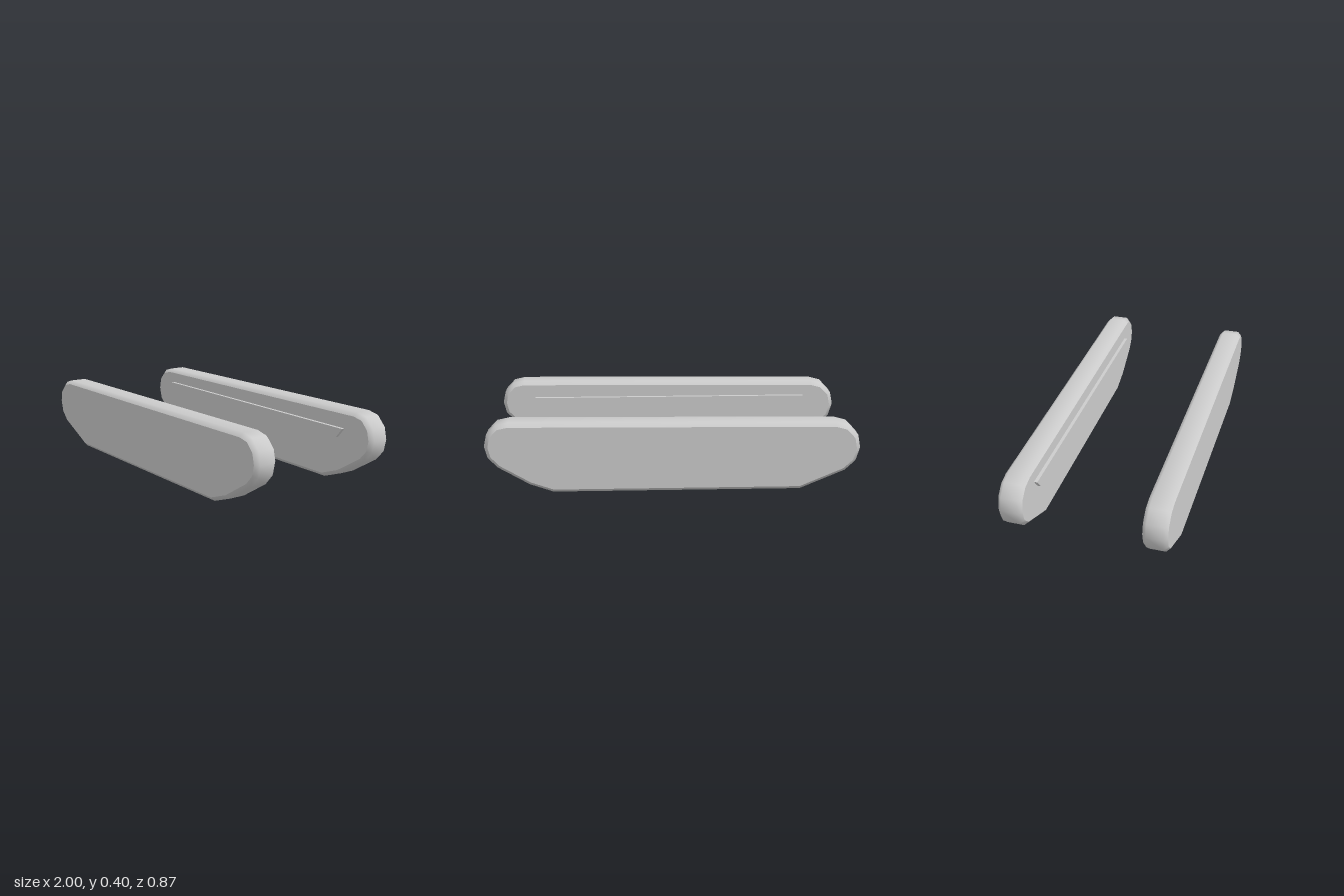
import * as THREE from 'three';

// Side outline of a track, counter-clockwise seen from +z
const OUTLINE = [
  [-0.685, 0], [0.645, 0], [0.77, 0.045], [0.935, 0.145], [0.985, 0.2], [1, 0.265],
  [0.985, 0.33], [0.935, 0.383], [0.87, 0.397], [-0.86, 0.381], [-0.93, 0.362],
  [-0.985, 0.305], [-1, 0.235], [-0.98, 0.16], [-0.925, 0.105],
].map(([x, y]) => new THREE.Vector2(x, y));

const BEVEL = 0.021;
const HALF_WIDTH = 0.064;
const TRACK_Z = 0.371;

// Mitred inward offset of a counter-clockwise loop
function inset(points, d) {
  const n = points.length;
  return points.map((p, i) => {
    const a = p.clone().sub(points[(i + n - 1) % n]).normalize();
    const b = points[(i + 1) % n].clone().sub(p).normalize();
    const m = new THREE.Vector2(-a.y - b.y, a.x + b.x);
    return p.clone().addScaledVector(m, d / (1 + a.dot(b)));
  });
}

// Smooth band round the track, lofted through four cross-sections
function bandGeometry(inner) {
  const rings = [
    [inner, -HALF_WIDTH], [OUTLINE, -HALF_WIDTH + BEVEL],
    [OUTLINE, HALF_WIDTH - BEVEL], [inner, HALF_WIDTH],
  ];
  const n = OUTLINE.length, pos = [], index = [];
  for (const [loop, z] of rings) for (const p of loop) pos.push(p.x, p.y, z);
  for (let r = 0; r < rings.length - 1; r++) {
    for (let i = 0; i < n; i++) {
      const j = (i + 1) % n;
      const a = r * n + i, b = r * n + j, c = a + n, d = b + n;
      index.push(a, b, d, a, d, c);
    }
  }
  const g = new THREE.BufferGeometry();
  g.setAttribute('position', new THREE.Float32BufferAttribute(pos, 3));
  g.setIndex(index);
  g.computeVertexNormals();
  return g;
}

export function createModel() {
  const model = new THREE.Group();
  model.name = 'trackPair';
  const material = new THREE.MeshStandardMaterial({ color: 0xcccccc });
  const inner = inset(OUTLINE, BEVEL);
  const band = bandGeometry(inner);
  const cap = new THREE.ShapeGeometry(new THREE.Shape(inner));

  // Mounting rail: thin bar, slightly shorter along its lower edge
  const rail = new THREE.ExtrudeGeometry(new THREE.Shape([
    new THREE.Vector2(-0.77, 0.247), new THREE.Vector2(0.76, 0.247),
    new THREE.Vector2(0.805, 0.3), new THREE.Vector2(-0.81, 0.3),
  ]), { depth: 0.03, bevelEnabled: false });
  rail.translate(0, 0, -0.015);

  for (const side of [1, -1]) {
    const track = new THREE.Group();
    track.name = side > 0 ? 'frontTrack' : 'backTrack';
    track.position.z = side * TRACK_Z;
    const add = (geometry, name) => {
      const mesh = new THREE.Mesh(geometry, material);
      mesh.name = name;
      track.add(mesh);
      return mesh;
    };
    add(band, 'trackBand');

    // Flat side faces
    add(cap, 'sidePlateFront').position.z = HALF_WIDTH;
    const back = cap.clone().scale(-1, 1, 1).rotateY(Math.PI);
    back.setIndex(Array.from(cap.index.array).reverse());
    back.computeVertexNormals();
    add(back, 'sidePlateBack').position.z = -HALF_WIDTH;

    // Rail on the face towards the other track
    add(rail, 'mountingRail').position.z = -side * (HALF_WIDTH + 0.003);
    model.add(track);
  }
  return model;
}
